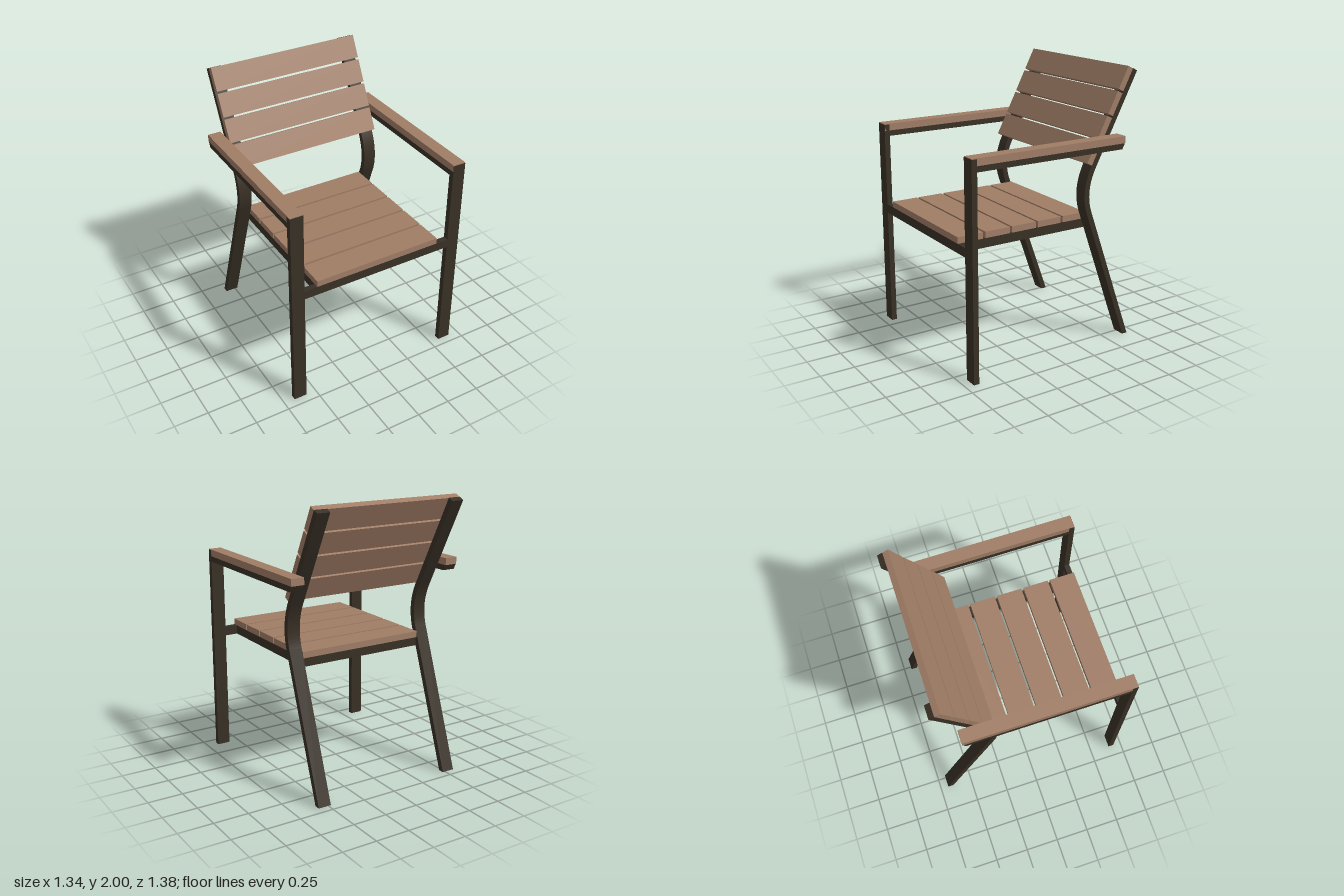
import * as THREE from 'three';
import { toCreasedNormals } from 'three/addons/utils/BufferGeometryUtils.js';

const wood = new THREE.MeshStandardMaterial({ color: 0xa07d66 });
wood.name = 'wood';
const metal = new THREE.MeshStandardMaterial({ color: 0x383025 });
metal.name = 'darkMetal';

// Box given by its limits on each axis
function box(name, material, [x0, x1], [y0, y1], [z0, z1]) {
  const mesh = new THREE.Mesh(new THREE.BoxGeometry(x1 - x0, y1 - y0, z1 - z0), material);
  mesh.position.set((x0 + x1) / 2, (y0 + y1) / 2, (z0 + z1) / 2);
  mesh.name = name;
  return mesh;
}

// Side profile in (z, y), extruded across x and centred on x
function sideProfile(name, material, points, width, x) {
  const shape = new THREE.Shape(points.map(([z, y]) => new THREE.Vector2(z, y)));
  const extruded = new THREE.ExtrudeGeometry(shape, { depth: width, bevelEnabled: false });
  extruded.rotateY(-Math.PI / 2);
  extruded.translate(x + width / 2, 0, 0);
  const mesh = new THREE.Mesh(toCreasedNormals(extruded, 0.5), material);
  mesh.name = name;
  return mesh;
}

// Outline of the bent rear leg: straight, curved, straight
function rearLegOutline() {
  const half = 0.02;
  const foot = new THREE.Vector2(-0.67, 0);
  const bendStart = new THREE.Vector2(-0.307, 1.0);
  const bendPeak = new THREE.Vector2(-0.248, 1.162);
  const bendEnd = new THREE.Vector2(-0.338, 1.333);
  const top = new THREE.Vector2(-0.672, 1.973);
  const bend = new THREE.QuadraticBezierCurve(bendStart, bendPeak, bendEnd);
  const centre = [foot, ...bend.getPoints(14), top];
  const front = [];
  const back = [];
  centre.forEach((p, i) => {
    const a = centre[Math.max(i - 1, 0)];
    const b = centre[Math.min(i + 1, centre.length - 1)];
    const t = b.clone().sub(a).normalize();
    // The foot is cut level with the ground
    const n = i === 0 ? new THREE.Vector2(1.06, 0) : new THREE.Vector2(t.y, -t.x);
    front.push([p.x + n.x * half, p.y + n.y * half]);
    back.push([p.x - n.x * half, p.y - n.y * half]);
  });
  return [...front, ...back.reverse()];
}

export function createModel() {
  const chair = new THREE.Group();
  chair.name = 'armchair';
  const legOutline = rearLegOutline();

  // Legs, armrests and seat rails on both sides
  for (const [side, s] of [['left', 1], ['right', -1]]) {
    const span = (a, b) => (s > 0 ? [a, b] : [-b, -a]);
    chair.add(
      box(`${side}FrontLeg`, metal, span(0.575, 0.67), [0, 1.535], [0.65, 0.69]),
      sideProfile(`${side}RearLeg`, metal, legOutline, 0.095, s * 0.5275),
      sideProfile(`${side}ArmRail`, metal,
        [[0.65, 1.45], [0.65, 1.49], [-0.525, 1.49], [-0.505, 1.45]], 0.095, s * 0.6225),
      box(`${side}ArmTop`, wood, span(0.575, 0.67), [1.49, 1.54], [-0.53, 0.688]),
      box(`${side}SeatRail`, metal, span(0.41, 0.48), [0.87, 0.935], [-0.29, 0.65])
    );
  }

  // Cross bars under the seat
  chair.add(
    box('frontSeatBar', metal, [-0.575, 0.575], [0.87, 0.935], [0.65, 0.69]),
    box('rearSeatBar', metal, [-0.48, 0.48], [0.87, 0.935], [-0.33, -0.29])
  );

  // Seat slats
  const seat = new THREE.Group();
  seat.name = 'seat';
  for (let i = 0; i < 5; i++) {
    const front = 0.69 - i * 0.21;
    seat.add(box('seatSlat', wood, [-0.48, 0.48], [0.935, 0.98], [front - 0.193, front]));
  }
  chair.add(seat);

  // Leaning backrest slats
  const backrest = new THREE.Group();
  backrest.name = 'backrest';
  backrest.position.set(0, 1.36, -0.28);
  backrest.rotation.x = -0.479;
  for (let i = 0; i < 4; i++) {
    const bottom = i * 0.1842;
    backrest.add(box('backSlat', wood, [-0.575, 0.575], [bottom, bottom + 0.169], [-0.045, 0]));
  }
  chair.add(backrest);

  return chair;
}
